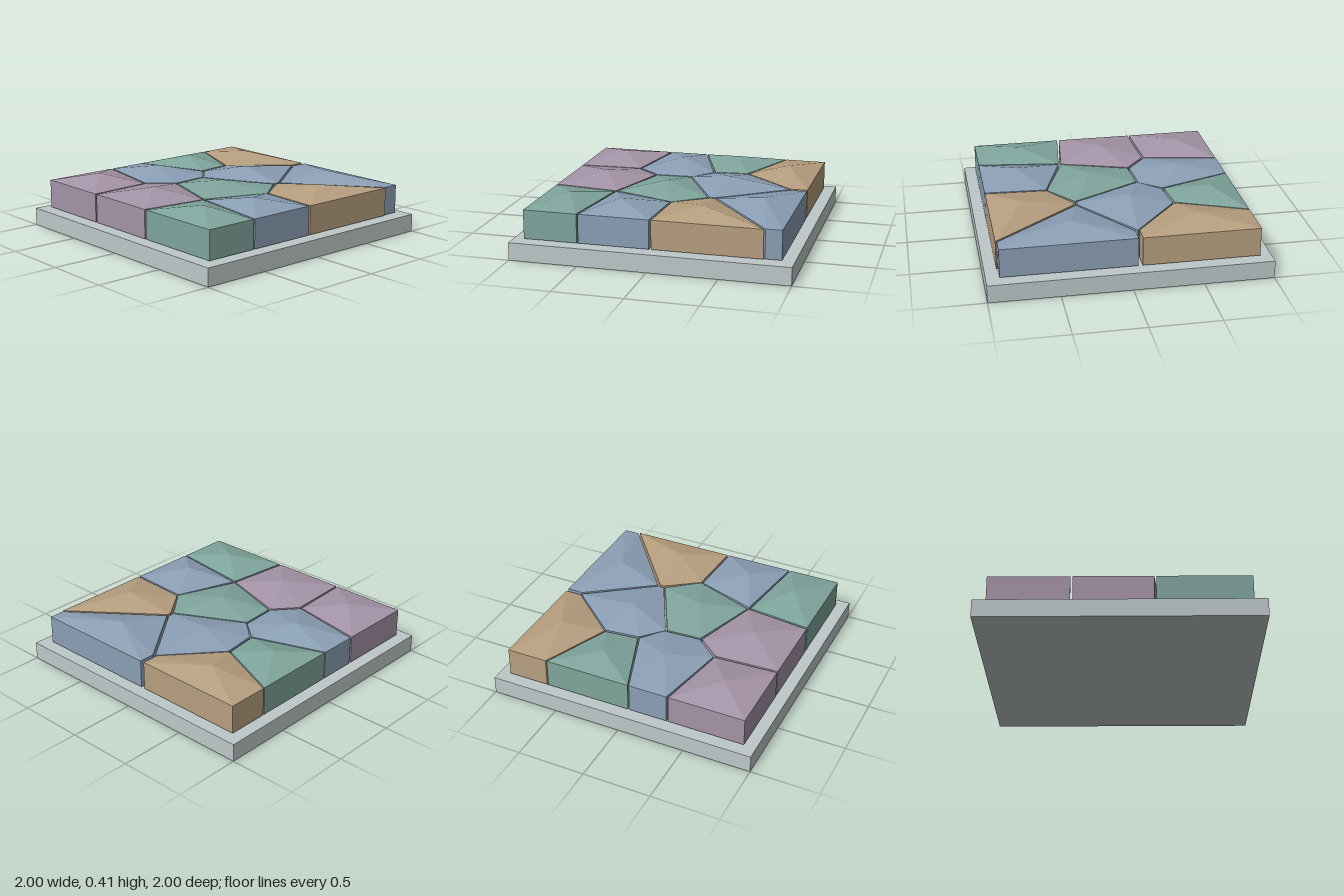
import * as THREE from 'three';

const material = (name, color) => {
  const m = new THREE.MeshStandardMaterial({ color });
  m.name = name;
  return m;
};

const BOTTOM = 0.14, RIM = 0.35, PEAK = 0.41;

// A stone: vertical walls on an [x, z] outline, topped by a shallow faceted peak
function stoneGeometry(outline, [px, pz]) {
  const pos = [];
  const tri = (...pts) => pts.forEach((p) => pos.push(...p));
  const at = ([x, z], y) => [x, y, z];
  const peak = [px, PEAK, pz], under = [px, BOTTOM, pz];
  outline.forEach((p, i) => {
    const q = outline[(i + 1) % outline.length];
    const a = at(p, RIM), b = at(q, RIM), c = at(q, BOTTOM), d = at(p, BOTTOM);
    tri(peak, b, a);
    tri(a, b, c);
    tri(a, c, d);
    tri(under, d, c);
  });
  const g = new THREE.BufferGeometry();
  g.setAttribute('position', new THREE.Float32BufferAttribute(pos, 3));
  g.computeVertexNormals();
  return g;
}

export function createModel() {
  const group = new THREE.Group();
  group.name = 'pavingTile';

  const grout = material('pale grey', 0xbfc8c9);
  const blue = material('slate blue', 0x8b9fb5);
  const tan = material('sand', 0xb79f7f);
  const green = material('sage green', 0x7fa59c);
  const purple = material('dusty mauve', 0xa594a8);

  // Base slab
  const slab = new THREE.Mesh(new THREE.BoxGeometry(2, 0.13, 2), grout);
  slab.name = 'baseSlab';
  slab.position.y = 0.065;
  group.add(slab);

  // Stones: name, colour, peak, outline
  const stones = [
    ['backLeftCornerStone', purple, [-0.65, -0.65],
      [[-0.915, -0.915], [-0.35, -0.915], [-0.45, -0.365], [-0.915, -0.34]]],
    ['backBlueStone', blue, [-0.15, -0.56],
      [[-0.335, -0.915], [-0.05, -0.915], [0.135, -0.385], [0.01, -0.23], [-0.265, -0.215], [-0.44, -0.365]]],
    ['backGreenStone', green, [0.26, -0.7],
      [[-0.04, -0.915], [0.6, -0.915], [0.395, -0.42], [0.145, -0.395]]],
    ['backSandStone', tan, [0.7, -0.52],
      [[0.61, -0.915], [0.915, -0.915], [0.915, -0.08], [0.79, -0.08], [0.405, -0.415]]],
    ['sideMauveStone', purple, [-0.61, -0.04],
      [[-0.915, -0.325], [-0.45, -0.35], [-0.28, -0.205], [-0.435, 0.29], [-0.915, 0.235]]],
    ['centreGreenStone', green, [-0.1, 0.125],
      [[-0.265, -0.2], [-0.005, -0.215], [0.255, 0.285], [0.03, 0.46], [-0.425, 0.29]]],
    ['centreBlueStone', blue, [0.33, -0.1],
      [[0.005, -0.22], [0.145, -0.375], [0.4, -0.405], [0.79, -0.07], [0.315, 0.275], [0.265, 0.28]]],
    ['sideBlueStone', blue, [0.685, 0.385],
      [[0.795, -0.05], [0.915, -0.05], [0.915, 0.905], [0.8, 0.905], [0.32, 0.29]]],
    ['frontGreenStone', green, [-0.685, 0.585],
      [[-0.915, 0.25], [-0.445, 0.305], [-0.525, 0.915], [-0.915, 0.915]]],
    ['frontBlueStone', blue, [-0.285, 0.65],
      [[-0.43, 0.31], [0.02, 0.465], [-0.005, 0.915], [-0.515, 0.915]]],
    ['frontSandStone', tan, [0.315, 0.68],
      [[0.035, 0.465], [0.27, 0.3], [0.305, 0.3], [0.79, 0.915], [0.01, 0.915]]],
  ];
  for (const [name, mat, peak, outline] of stones) {
    const mesh = new THREE.Mesh(stoneGeometry(outline, peak), mat);
    mesh.name = name;
    group.add(mesh);
  }
  return group;
}
